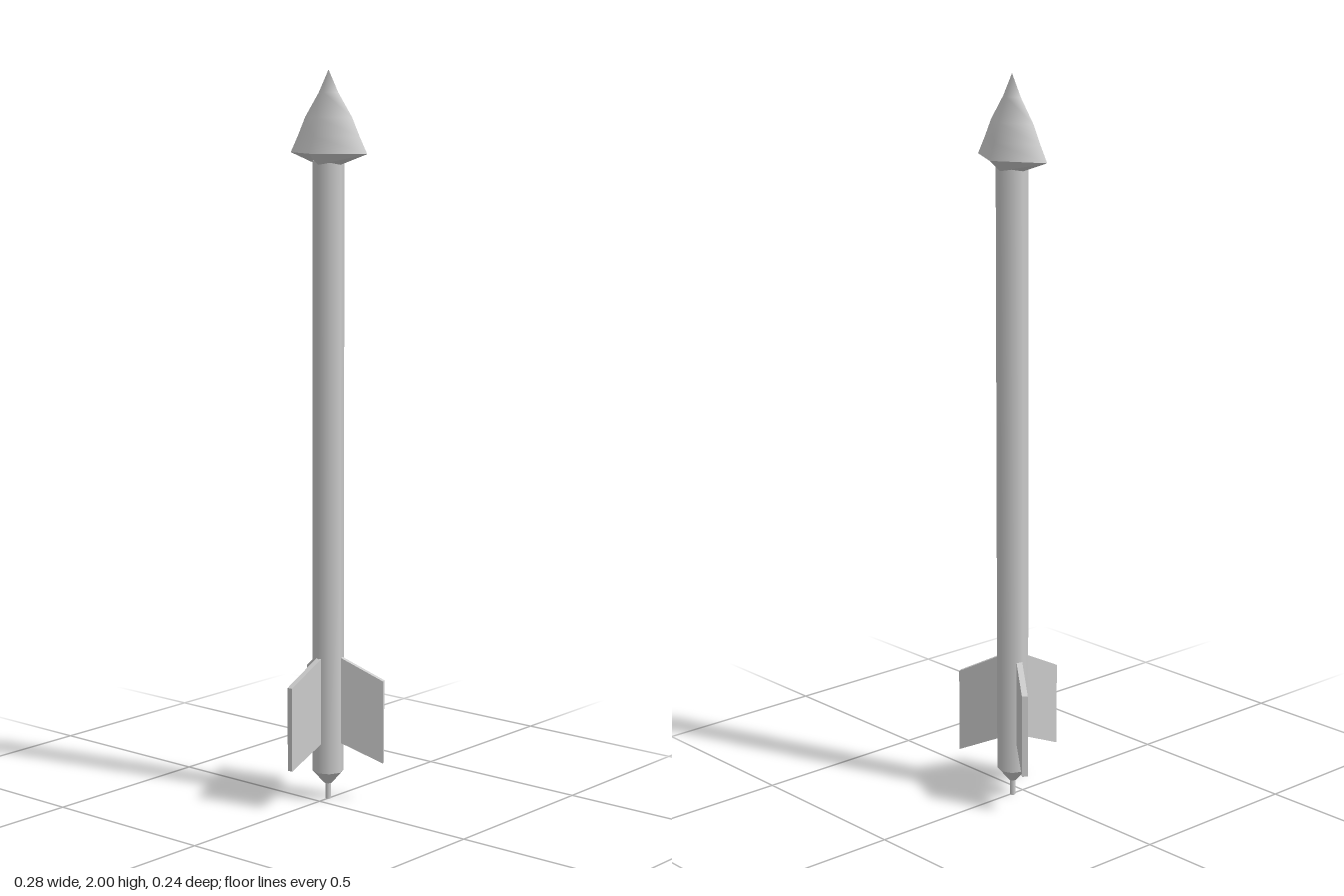
import * as THREE from 'three';

const AX = -0.003, AZ = -0.04; // axis of the shaft

export function createModel() {
  const group = new THREE.Group();
  const smooth = new THREE.MeshStandardMaterial({ color: 0xcccccc });
  const flat = new THREE.MeshStandardMaterial({ color: 0xcccccc, flatShading: true });

  const add = (name, geometry, material, x = AX, y = 0, z = AZ) => {
    const mesh = new THREE.Mesh(geometry, material);
    mesh.name = name;
    mesh.position.set(x, y, z);
    group.add(mesh);
    return mesh;
  };

  // Octagonal shaft, tapered tail and nock pin
  add('shaft', new THREE.CylinderGeometry(0.043, 0.043, 1.68, 8), smooth, AX, 0.92);
  add('tailCone', new THREE.CylinderGeometry(0.043, 0.012, 0.035, 8), flat, AX, 0.0625);
  add('tailPin', new THREE.CylinderGeometry(0.008, 0.008, 0.05, 8), smooth, AX, 0.025);

  // Diamond-section head: two smooth halves meeting at sharp side edges
  const squash = 0.078 / 0.134;
  const profile = [[0.134, 1.78], [0.108, 1.825], [0.082, 1.875], [0.034, 1.94], [0, 2]]
    .map(([r, y]) => new THREE.Vector2(r, y));
  ['headFront', 'headBack'].forEach((name, i) => {
    const half = new THREE.LatheGeometry(profile, 2, -Math.PI / 2 + i * Math.PI, Math.PI);
    half.scale(1, 1, squash);
    add(name, half, smooth);
  });

  // Underside of the head, narrowing from the wide diamond to the shaft
  const under = new THREE.CylinderGeometry(0.134, 0.043, 0.03, 4, 1, true);
  const p = under.attributes.position;
  for (let i = 0; i < p.count; i++) if (p.getY(i) > 0) p.setZ(i, p.getZ(i) * squash);
  add('headUnderside', under, flat, AX, 1.765);

  // Three swept fins: one forward, two angled backward
  const outline = new THREE.Shape([[0.02, 0.172], [0.16, 0.113], [0.16, 0.345], [0.02, 0.415]]
    .map(([r, y]) => new THREE.Vector2(r, y)));
  const fin = new THREE.ExtrudeGeometry(outline, { depth: 0.016, bevelEnabled: false });
  fin.translate(0, 0, -0.008);
  [
    ['frontFin', -Math.PI / 2, -0.04],
    ['leftFin', 0.47, -0.035],
    ['rightFin', Math.PI - 0.61, -0.023],
  ].forEach(([name, angle, z]) => {
    add(name, fin, flat, AX, 0, z).rotation.y = angle;
  });

  return group;
}
